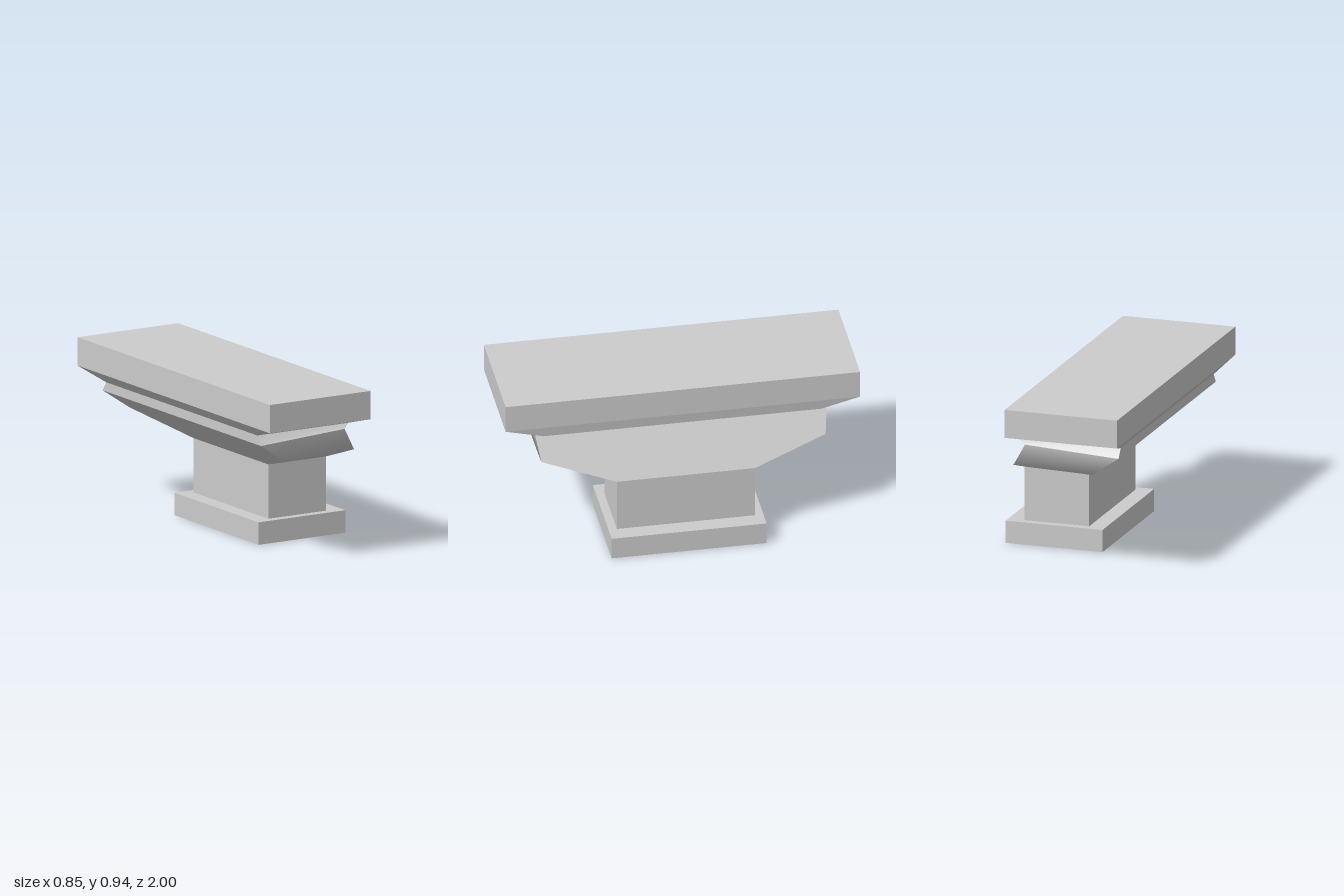
import * as THREE from 'three';

const material = new THREE.MeshStandardMaterial({ color: 0xcccccc });

// Closed four-sided loft. Each ring is [xLeft, yLeft, xRight, yRight, halfDepth].
// Every side is its own strip: smooth upwards, sharp at the corners.
function loft(name, rings) {
  const corners = rings.map(([xl, yl, xr, yr, z]) => [[xl, yl, z], [xr, yr, z], [xr, yr, -z], [xl, yl, -z]]);
  const pos = [], index = [];
  for (let i = 0; i < 4; i++) {
    const start = pos.length / 3;
    corners.forEach((c, r) => {
      pos.push(...c[i], ...c[(i + 1) % 4]);
      if (r === 0) return;
      const k = start + (r - 1) * 2;
      index.push(k, k + 1, k + 3, k, k + 3, k + 2);
    });
  }
  // End caps
  const top = corners[corners.length - 1];
  const bottom = [...corners[0]].reverse();
  for (const cap of [top, bottom]) {
    const k = pos.length / 3;
    pos.push(...cap.flat());
    index.push(k, k + 1, k + 2, k, k + 2, k + 3);
  }
  const g = new THREE.BufferGeometry();
  g.setAttribute('position', new THREE.Float32BufferAttribute(pos, 3));
  g.setIndex(index);
  g.computeVertexNormals();
  const mesh = new THREE.Mesh(g, material);
  mesh.name = name;
  return mesh;
}

const level = (xl, xr, y, z) => [xl, y, xr, y, z];

export function createModel() {
  const group = new THREE.Group();
  group.name = 'bracketPedestal';

  // Foot and column
  group.add(loft('base', [level(-0.425 + 0.281, 0.425, 0, 0.437), level(-0.144, 0.425, 0.128, 0.437)]));
  group.add(loft('column', [level(-0.05, 0.329, 0.128, 0.39), level(-0.05, 0.329, 0.437, 0.39)]));

  // Leaning, flaring capital
  const rim = [-0.372, 0.664, 0.177, 0.695, 0.822];
  group.add(loft('capital', [level(-0.05, 0.329, 0.437, 0.39), [-0.208, 0.551, 0.252, 0.566, 0.802], rim]));

  // Neck between capital and slab
  group.add(loft('neck', [rim, level(-0.372, 0.226, 0.717, 0.785)]));

  // Slab with bevelled underside
  group.add(loft('slabBevel', [level(-0.372, 0.226, 0.717, 0.785), level(-0.425, 0.235, 0.777, 1)]));
  group.add(loft('slab', [level(-0.425, 0.235, 0.777, 1), level(-0.425, 0.235, 0.938, 1)]));

  return group;
}
